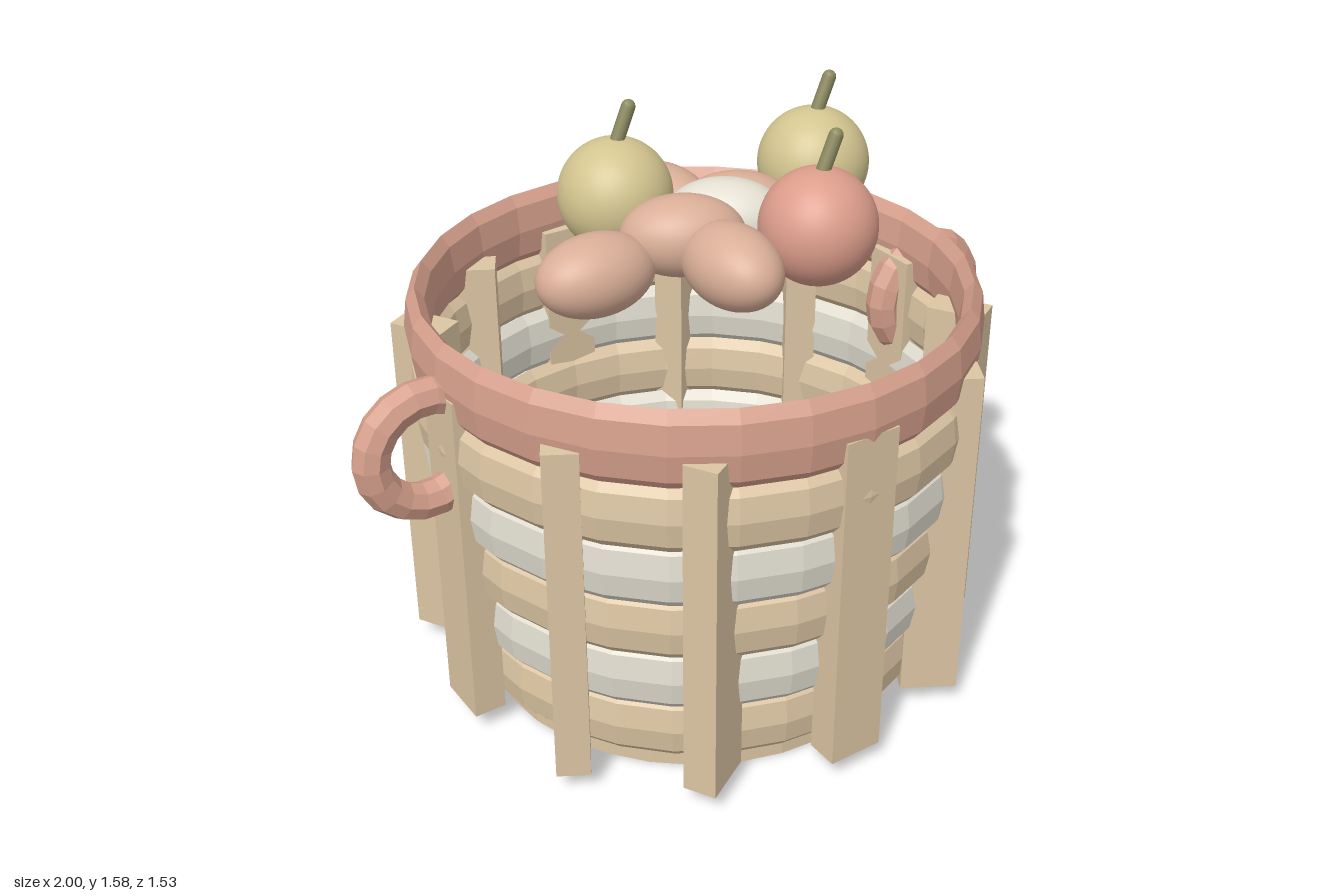
import * as THREE from 'three';

const mat = (color, flatShading = true) => new THREE.MeshStandardMaterial({ color, flatShading });
const TAN = mat(0xdcc5a3), WHITE = mat(0xe0dccf), ROSE = mat(0xd6a08c);
const EGG = mat(0xd9ae97, false), PALE = mat(0xe4dfd2, false);
const YELLOW = mat(0xd3c590, false), RED = mat(0xdc9d8b, false), STEM = mat(0x8c8a60, false);

export function createModel() {
  const root = new THREE.Group();
  const add = (name, geometry, material, x = 0, y = 0, z = 0, parent = root) => {
    const m = new THREE.Mesh(geometry, material);
    m.name = name;
    m.position.set(x, y, z);
    parent.add(m);
    return m;
  };

  // Ring with an upright oval section
  const ring = (name, outer, thick, halfHeight, y, material) => {
    const g = new THREE.TorusGeometry(outer - thick, thick, 8, 28).rotateX(Math.PI / 2);
    g.scale(1, halfHeight / thick, 1);
    return add(name, g, material, 0, y);
  };

  // Floor
  add('basketFloor', new THREE.CylinderGeometry(0.61, 0.61, 0.1, 32), TAN, 0, 0.05);

  // Woven bands, widening upwards
  for (let i = 0; i < 5; i++) {
    ring('wovenBand', 0.675 + 0.022 * i, 0.034, 0.095, 0.16 + 0.175 * i, i % 2 ? WHITE : TAN);
  }
  ring('rim', 0.765, 0.034, 0.108, 1.05, ROSE);

  // Upright stakes, the diagonal ones twisted across the wall
  const stake = new THREE.BoxGeometry(0.09, 0.97, 0.155);
  for (let i = 0; i < 12; i++) {
    const a = (i / 12) * Math.PI * 2;
    add('stake', stake, TAN, Math.cos(a) * 0.715, 0.545, Math.sin(a) * 0.715).rotation.y = a;
  }

  // Ring handles
  for (const s of [-1, 1]) {
    add('handle', new THREE.TorusGeometry(0.147, 0.05, 8, 18), ROSE, s * 0.803, 0.882);
  }

  // Eggs: material, centre, turn about y, tilt about z
  const egg = new THREE.IcosahedronGeometry(1, 8);
  const eggs = [
    [EGG, -0.3, 1.225, 0, 0, 0],
    [EGG, -0.02, 1.255, 0.2, Math.PI / 2, 0],
    [EGG, 0.06, 1.25, -0.25, Math.PI / 2 + 0.2, 0],
    [EGG, -0.05, 1.28, 0.02, -0.5, 0],
    [PALE, 0.12, 1.27, -0.03, -0.7, 0],
    [PALE, 0.31, 1.265, 0.1, 0.75, -0.3],
    [EGG, 0.2, 1.25, -0.09, -0.6, 0],
  ];
  for (const [m, x, y, z, turn, tilt] of eggs) {
    const e = add('egg', egg, m, x, y, z);
    e.scale.set(0.165, 0.108, 0.112);
    e.rotation.set(0, turn, tilt);
  }

  // Round fruit with leaning stems
  const ball = new THREE.IcosahedronGeometry(0.154, 10);
  const stem = new THREE.CapsuleGeometry(0.019, 0.12, 4, 10);
  const fruits = [
    [YELLOW, -0.11, -0.212],
    [YELLOW, 0.465, -0.108],
    [RED, 0.21, 0.25],
  ];
  for (const [m, x, z] of fruits) {
    const fruit = new THREE.Group();
    fruit.name = 'fruit';
    fruit.position.set(x, 1.327, z);
    root.add(fruit);
    add('fruitBody', ball, m, 0, 0, 0, fruit);
    add('fruitStem', stem, STEM, 0.022, 0.178, 0, fruit).rotation.z = -0.4;
  }
  return root;
}
